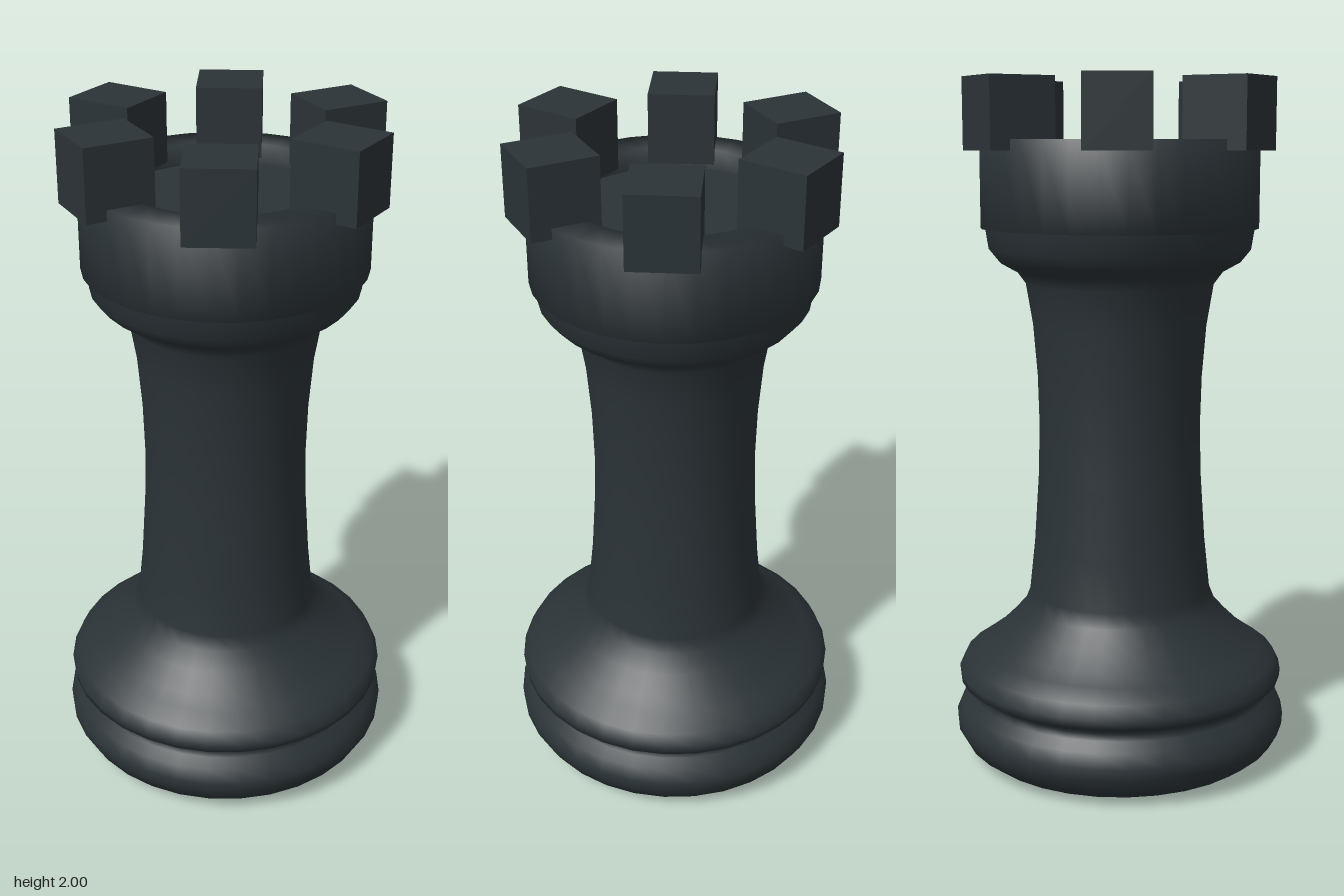
import * as THREE from 'three';

const SEGMENTS = 32;

export function createModel() {
  const model = new THREE.Group();
  model.name = 'rook';
  const material = new THREE.MeshStandardMaterial({ color: 0x2b3337 });

  const add = (name, geometry, parent = model) => {
    const mesh = new THREE.Mesh(geometry, material);
    mesh.name = name;
    parent.add(mesh);
    return mesh;
  };
  const lathe = (profile) =>
    new THREE.LatheGeometry(profile.map(([r, y]) => new THREE.Vector2(r, y)), SEGMENTS);

  // Turned body: rounded foot, groove, upper bead, waisted column and flared collar
  add('body', lathe([
    [0, 0], [0.38, 0.003], [0.43, 0.015], [0.47, 0.045], [0.495, 0.09], [0.497, 0.125],
    [0.48, 0.165], [0.452, 0.19], [0.446, 0.208], [0.458, 0.222], [0.484, 0.238],
    [0.487, 0.262], [0.468, 0.3], [0.42, 0.333], [0.38, 0.362], [0.33, 0.41],
    [0.288, 0.457], [0.271, 0.5], [0.255, 0.65], [0.242, 0.85], [0.238, 1.0],
    [0.242, 1.15], [0.254, 1.3], [0.274, 1.42], [0.3, 1.455], [0.35, 1.483],
    [0.38, 1.52], [0.391, 1.59],
  ]));

  // Crown: thick ring with a shallow recess
  add('crown', lathe([[0.3, 1.58], [0.402, 1.58], [0.402, 1.83], [0.302, 1.83], [0.302, 1.76]]));

  // Floor of the recess
  const floor = add('crownFloor', new THREE.CircleGeometry(0.304, SEGMENTS));
  floor.rotation.x = -Math.PI / 2;
  floor.position.y = 1.77;

  // Six battlements around the rim
  const battlements = new THREE.Group();
  battlements.name = 'battlements';
  model.add(battlements);
  for (let i = 0; i < 6; i++) {
    const angle = (i * Math.PI) / 3;
    const block = add('battlement', new THREE.BoxGeometry(0.195, 0.2, 0.185), battlements);
    block.position.set(0.35 * Math.cos(angle), 1.9, -0.35 * Math.sin(angle));
    block.rotation.y = angle;
  }

  return model;
}
